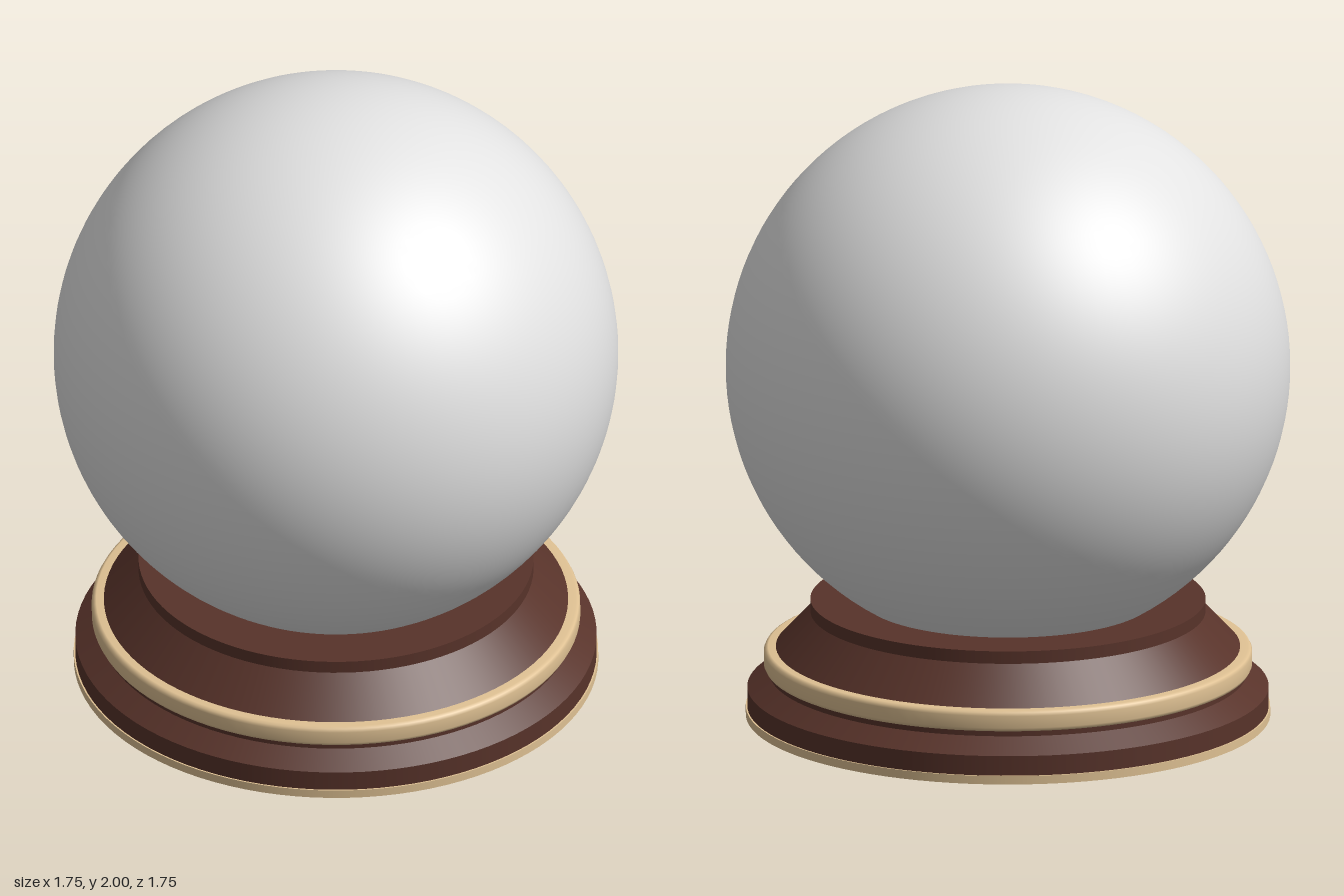
import * as THREE from 'three';
import { mergeGeometries } from 'three/addons/utils/BufferGeometryUtils.js';

const SEGMENTS = 96;

// Turned part made of several smooth runs, with a sharp edge between runs
function turned(name, runs, material) {
  const lathes = runs.map((run) =>
    new THREE.LatheGeometry(run.map(([r, y]) => new THREE.Vector2(r, y)), SEGMENTS));
  const mesh = new THREE.Mesh(mergeGeometries(lathes), material);
  mesh.name = name;
  return mesh;
}

export function createModel() {
  const glass = new THREE.MeshStandardMaterial({ name: 'pale glass', color: 0xe2e2e2 });
  const wood = new THREE.MeshStandardMaterial({ name: 'dark wood', color: 0x58332a });
  const gold = new THREE.MeshStandardMaterial({ name: 'soft gold', color: 0xdfc193 });

  const model = new THREE.Group();
  model.name = 'crystalBall';

  // Glass ball resting in the stand
  const ball = new THREE.Mesh(new THREE.SphereGeometry(0.877, SEGMENTS, 64), glass);
  ball.name = 'ball';
  ball.position.y = 1.123;

  const stand = new THREE.Group();
  stand.name = 'stand';
  stand.add(
    // Underside and lower moulding
    turned('underside', [[[0, 0], [0.74, 0]]], wood),
    turned('lowerMoulding', [
      [[0.81, 0.027], [0.81, 0.09]],
      [[0.81, 0.09], [0.742, 0.135]],
      [[0.742, 0.135], [0.742, 0.16]],
    ], wood),
    // Upper moulding, with its top running in under the ball
    turned('upperMoulding', [
      [[0.725, 0.215], [0.614, 0.333]],
      [[0.614, 0.333], [0.614, 0.373]],
      [[0.614, 0.373], [0.44, 0.373]],
    ], wood),
    // Gold trims
    turned('bottomTrim', [
      [[0.74, 0], [0.815, 0]],
      [[0.815, 0], [0.815, 0.027]],
      [[0.815, 0.027], [0.8, 0.027]],
    ], gold),
    turned('middleBand', [
      [[0.7, 0.152], [0.745, 0.152], [0.754, 0.156], [0.759, 0.166], [0.759, 0.204],
        [0.754, 0.214], [0.745, 0.219], [0.7, 0.219]],
    ], gold),
  );

  model.add(ball, stand);
  return model;
}
